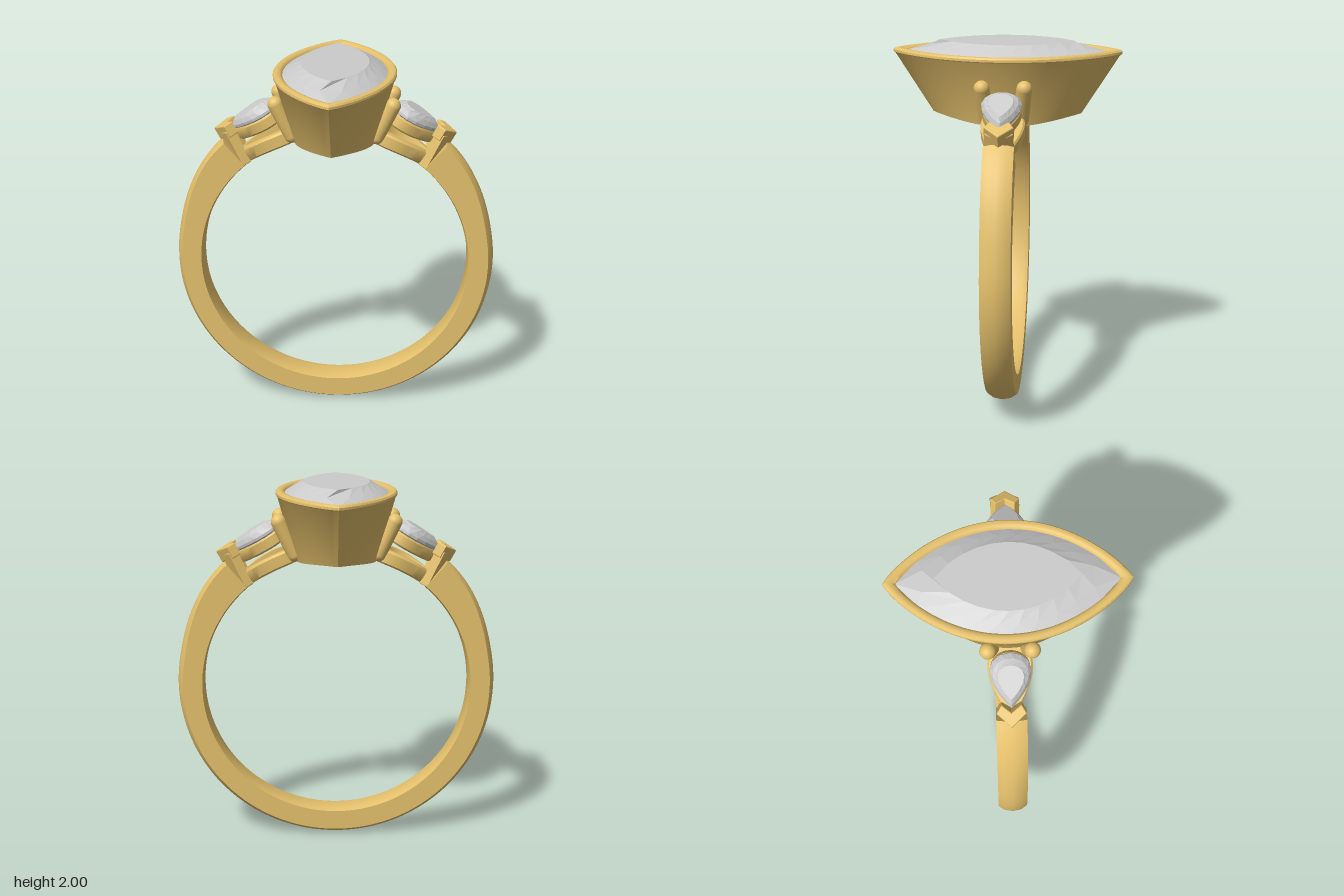
import * as THREE from 'three';
import { toCreasedNormals } from 'three/addons/utils/BufferGeometryUtils.js';

const gold = new THREE.MeshStandardMaterial({ color: 0xe5c16c });
const gem = new THREE.MeshStandardMaterial({ color: 0xcccccc, flatShading: true });
const CY = 0.88, RI = 0.73; // centre height and inner radius of the band

const named = (name, geo, mat = gold) => {
  const m = new THREE.Mesh(geo, mat);
  m.name = name;
  return m;
};

// Skin a list of equal-length loops of [x, y, z] points
function loft(rings, crease = 0.65) {
  const n = rings[0].length, index = [];
  for (let i = 0; i < rings.length - 1; i++) {
    for (let j = 0; j < n; j++) {
      const a = i * n + j, b = i * n + (j + 1) % n;
      index.push(a, a + n, b, b, a + n, b + n);
    }
  }
  const g = new THREE.BufferGeometry();
  g.setAttribute('position', new THREE.Float32BufferAttribute(rings.flat(2), 3));
  g.setIndex(index);
  return toCreasedNormals(g, crease);
}

// Loop of n points from an outline function of angle; y may depend on x
function loop(n, outline, y, offset = 0) {
  return Array.from({ length: n }, (_, i) => {
    const [x, z] = outline((i + offset) / n * Math.PI * 2);
    return [x, typeof y === 'function' ? y(x) : y, z];
  });
}

// Pointed oval: half width a along x, half length l along z
const marquise = (a, l) => t => {
  const s = Math.asin(Math.sin(t)) * 2 / Math.PI;
  return [Math.sign(Math.cos(t)) * a * Math.pow(Math.max(0, 1 - s * s), 0.85), l * s];
};

// Teardrop with its point at +x
const pear = (l, w) => t => [l * Math.cos(t), w / 0.77 * Math.sin(t) * Math.sin(t / 2)];

// Band: domed section swept below the setting, thicker at the shoulders
function band() {
  const rings = [], steps = 120, end = 49 * Math.PI / 180;
  const section = (e, shrink) => {
    const k = THREE.MathUtils.smoothstep(Math.asin(Math.sin(e)), 0.15, end);
    const ro = 0.875 + 0.04 * k, d = 0.03 - 0.015 * k;
    const pts = [[RI, -0.05], [RI, 0.05], [RI + 0.008, 0.078], [ro - d, 0.078], [ro - d * 0.27, 0.045],
      [ro, 0], [ro - d * 0.27, -0.045], [ro - d, -0.078], [RI + 0.008, -0.078]];
    return pts.map(([r, z]) => {
      const q = shrink ? 0.82 : r;
      return [q * Math.cos(e), CY + q * Math.sin(e), shrink ? 0 : z];
    });
  };
  rings.push(section(end, true));
  for (let i = 0; i <= steps; i++) rings.push(section(end - (Math.PI + 2 * end) * i / steps, false));
  rings.push(section(-Math.PI - end, true));
  return loft(rings);
}

// Bezel: flared cup whose underside follows the finger hole
function bezel() {
  const under = x => CY + Math.sqrt(RI * RI - x * x);
  const profile = [
    [0, 0, 1.7], [0.14, 0.29, 1.7], [0.15, 0.3, under], [0.22, 0.4, under],
    [0.318, 0.6, 1.925], [0.325, 0.612, 1.933], [0.325, 0.612, 1.945], [0.318, 0.603, 1.954],
    [0.305, 0.588, 1.957], [0.288, 0.566, 1.954], [0.277, 0.55, 1.945], [0.27, 0.54, 1.92], [0, 0, 1.76],
  ];
  return loft(profile.map(([a, l, y]) => loop(96, marquise(a, l), y)));
}

// Faceted stone: staggered loops from culet to table
function stone(n, outline, levels) {
  return loft(levels.map(([s, y, off]) => loop(n, t => outline(t).map(v => v * s), y, off)), 0.01);
}

// Pear-shaped hollow frame between heights y0 and y1
function pearFrame(l, w, wall, y0, y1) {
  const outer = pear(l, w), inner = pear(l - wall * 1.4, w - wall), b = 0.01;
  const mid = pear(l - b, w - b);
  return [loop(48, inner, y1), loop(48, inner, y0), loop(48, mid, y0), loop(48, outer, y0 + b),
    loop(48, outer, y1 - b), loop(48, mid, y1), loop(48, inner, y1)];
}

// Rounded bar between two points
function bar(a, b, r) {
  const A = new THREE.Vector3(...a), B = new THREE.Vector3(...b), d = B.clone().sub(A);
  const g = new THREE.CapsuleGeometry(r, d.length(), 8, 20);
  g.applyQuaternion(new THREE.Quaternion().setFromUnitVectors(new THREE.Vector3(0, 1, 0), d.normalize()));
  const c = A.add(B).multiplyScalar(0.5);
  return g.translate(c.x, c.y, c.z);
}

// V-shaped block pointing to +x, rising along y
function chevron(tip, back, half, thick, height) {
  const s = new THREE.Shape([[tip, 0], [back + 0.02, half], [back - 0.015, half - 0.02],
    [tip - thick, 0], [back - 0.015, 0.02 - half], [back + 0.02, -half]].map(p => new THREE.Vector2(...p)));
  const g = new THREE.ExtrudeGeometry(s, { depth: height, bevelSize: 0.006, bevelThickness: 0.006, bevelSegments: 2 });
  return g.rotateX(-Math.PI / 2);
}

// One side setting, built on the +x side
function sideSetting() {
  const side = new THREE.Group();

  // Stone and its collar share a tilted seat
  const seat = new THREE.Group();
  seat.name = 'sideSeat';
  seat.position.set(0.43, 1.7, 0);
  seat.rotation.z = -0.54;
  seat.add(named('sideStone', stone(16, pear(0.14, 0.105),
    [[0, -0.08, 0], [0.6, -0.04, 0.5], [1, -0.008, 0], [1, 0.006, 0], [0.84, 0.03, 0.5], [0.62, 0.048, 0], [0, 0.048, 0]]), gem));
  seat.add(named('collar', loft(pearFrame(0.138, 0.1, 0.03, -0.085, -0.015))));
  side.add(seat);

  // Lower gallery: the same frame bent around the finger hole
  const bent = pearFrame(0.2, 0.115, 0.045, 0, 0.078).map(ring => ring.map(([u, h, z]) => {
    const a = 0.5 + u / 0.77, r = RI + h;
    return [r * Math.sin(a), CY + r * Math.cos(a), z];
  }));
  side.add(named('gallery', loft(bent)));

  // Pair of round prongs beside the bezel
  for (const s of [-1, 1]) {
    side.add(named('roundProng', bar([0.225, 1.62, 0.09 * s], [0.308, 1.797, 0.11 * s], 0.041)));
  }

  // V prong guarding the point of the stone
  const shaft = named('tipProngShaft', chevron(0.045, -0.025, 0.066, 0.055, 0.2));
  shaft.position.set(0.493, 1.435, 0);
  shaft.rotation.z = -0.45;
  const head = named('tipProngHead', chevron(0.05, -0.035, 0.068, 0.06, 0.06));
  head.position.set(0.568, 1.592, 0);
  head.rotation.z = -0.5;
  side.add(shaft, head);
  return side;
}

export function createModel() {
  const ring = new THREE.Group();
  ring.name = 'ring';
  ring.add(named('band', band()), named('bezel', bezel()));
  ring.add(named('centreStone', stone(20, marquise(0.278, 0.552),
    [[0, 1.78, 0], [0.6, 1.85, 0.5], [1, 1.93, 0], [1, 1.94, 0], [0.84, 1.968, 0.5], [0.65, 2, 0], [0, 2, 0]]), gem));
  for (const name of ['leftSetting', 'rightSetting']) {
    const side = sideSetting();
    side.name = name;
    if (name === 'rightSetting') side.rotation.y = Math.PI;
    ring.add(side);
  }
  return ring;
}
